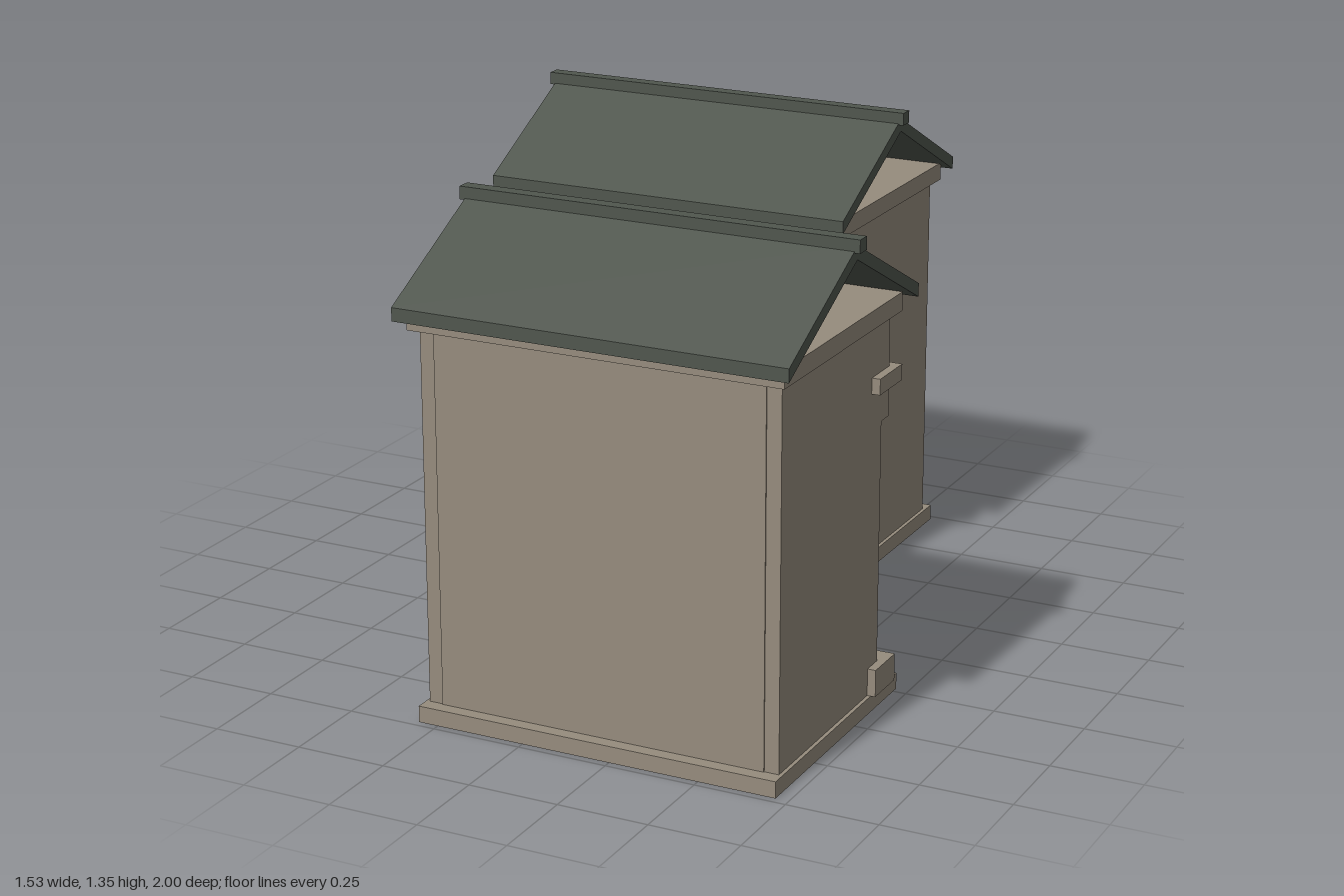
import * as THREE from 'three';

const mat = (name, color) => Object.assign(new THREE.MeshStandardMaterial({ color }), { name });

export function createModel() {
  const stone = mat('stone', 0x968c7d);
  const slate = mat('slate', 0x50564e);
  const darkWood = mat('darkWood', 0x5a4031);
  const panelWood = mat('panelWood', 0x604d3c);

  // box given by its min and max along each axis
  function box(parent, name, material, [x0, x1], [y0, y1], [z0, z1]) {
    const mesh = new THREE.Mesh(new THREE.BoxGeometry(x1 - x0, y1 - y0, z1 - z0), material);
    mesh.position.set((x0 + x1) / 2, (y0 + y1) / 2, (z0 + z1) / 2);
    mesh.name = name;
    parent.add(mesh);
  }
  const around = (c, half) => [c - half, c + half];

  // one stall with two arched bays, opening towards +z
  function buildStall(name) {
    const stall = new THREE.Group();
    stall.name = name;

    // floor, back wall and cornice slab
    box(stall, 'plinth', stone, around(0, 0.51), [0, 0.045], [-0.37, 0.38]);
    box(stall, 'backWall', stone, around(0, 0.46), [0.045, 1.06], [-0.333, -0.27]);
    box(stall, 'cornice', stone, around(0, 0.52), [1.06, 1.11], [-0.36, 0.345]);

    // side walls and middle partition, each with a base block and a capital
    for (const x of [-0.46, 0, 0.46]) {
      box(stall, 'wall', stone, around(x, 0.04), [0.045, 1.06], [-0.33, 0.27]);
      box(stall, 'baseBlock', stone, around(x, 0.063), [0.045, 0.12], [0.21, 0.335]);
      box(stall, 'capital', stone, around(x, 0.063), [0.875, 0.918], [0.205, 0.345]);
    }

    // arcade panel with two elliptical arches
    const arcade = new THREE.Shape();
    arcade.moveTo(-0.5, 1.06);
    arcade.lineTo(-0.5, 0.783);
    for (const x of [-0.23, 0.23]) {
      arcade.lineTo(x - 0.19, 0.783);
      arcade.absellipse(x, 0.783, 0.19, 0.1, Math.PI, 0, true);
    }
    arcade.lineTo(0.5, 0.783);
    arcade.lineTo(0.5, 1.06);
    const arches = new THREE.Mesh(
      new THREE.ExtrudeGeometry(arcade, { depth: 0.08, bevelEnabled: false, curveSegments: 16 }), stone);
    arches.position.z = 0.235;
    arches.name = 'arcade';
    stall.add(arches);

    // a counter in each bay
    for (const x of [-0.23, 0.23]) {
      box(stall, 'counterBody', stone, around(x, 0.155), [0.045, 0.31], [0, 0.16]);
      box(stall, 'counterTop', darkWood, around(x, 0.175), [0.31, 0.345], [-0.02, 0.18]);
      box(stall, 'counterPanel', panelWood, around(x, 0.126), [0.105, 0.26], [0.158, 0.167]);
    }

    // open gabled roof, its profile extruded along x, and the ridge cap
    const profile = new THREE.Shape([
      [-0.39, 1.088], [0, 1.288], [0.39, 1.088], [0.39, 1.124], [0, 1.324], [-0.39, 1.124],
    ].map(([z, y]) => new THREE.Vector2(z, y)));
    const roof = new THREE.Mesh(
      new THREE.ExtrudeGeometry(profile, { depth: 1.09, bevelEnabled: false }), slate);
    roof.rotation.y = Math.PI / 2;
    roof.position.x = -0.545;
    roof.name = 'roof';
    stall.add(roof);
    box(stall, 'ridgeCap', slate, around(0, 0.56), [1.31, 1.345], around(0, 0.02));
    return stall;
  }

  // two stalls facing each other, offset sideways
  const model = new THREE.Group();
  model.name = 'marketStalls';
  const back = buildStall('backStall');
  back.position.set(-0.204, 0, -0.61);
  const front = buildStall('frontStall');
  front.position.set(0.204, 0, 0.61);
  front.rotation.y = Math.PI;
  model.add(back, front);
  return model;
}
